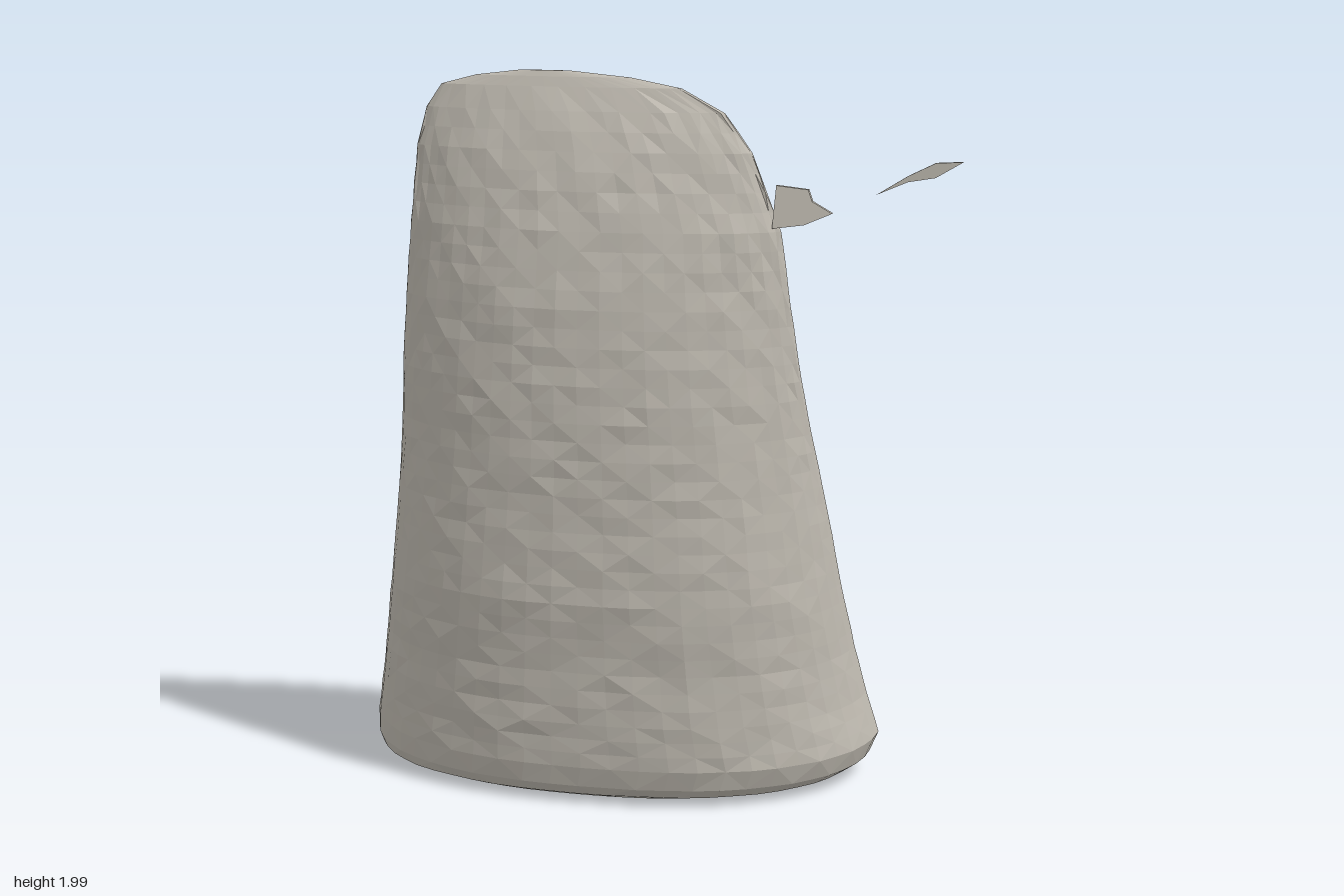
import * as THREE from 'three';

const stone = new THREE.MeshStandardMaterial({ color: 0xc4bfb5, flatShading: true, side: THREE.DoubleSide });
stone.name = 'warm grey';

// Cross-sections, bottom to top: y, xMin, xMax, side edge z, front z, back z
const SECTIONS = [
  [0.008, -0.78, 0.43, -0.16, 0.23, -0.41],
  [0.03, -0.855, 0.53, -0.17, 0.28, -0.435],
  [0.06, -0.865, 0.575, -0.175, 0.305, -0.455],
  [0.12, -0.86, 0.60, -0.17, 0.325, -0.472],
  [0.25, -0.83, 0.57, -0.13, 0.35, -0.46],
  [0.4, -0.795, 0.545, -0.07, 0.37, -0.41],
  [0.6, -0.75, 0.52, 0.02, 0.41, -0.31],
  [0.8, -0.71, 0.50, 0.10, 0.43, -0.21],
  [1.0, -0.67, 0.475, 0.18, 0.45, -0.11],
  [1.2, -0.64, 0.45, 0.25, 0.468, -0.01],
  [1.4, -0.61, 0.43, 0.30, 0.475, 0.075],
  [1.6, -0.58, 0.41, 0.335, 0.465, 0.17],
  [1.8, -0.55, 0.34, 0.36, 0.44, 0.285],
  [1.9, -0.52, 0.27, 0.37, 0.417, 0.335],
  [1.96, -0.475, 0.16, 0.378, 0.402, 0.365],
  [1.985, -0.38, 0.03, 0.383, 0.396, 0.375],
  [2.0, -0.26, -0.13, 0.387, 0.391, 0.383],
];

function seeded(seed) {
  return () => {
    seed = (seed * 16807) % 2147483647;
    return seed / 2147483647 - 0.5;
  };
}

// Split the sections into rows of roughly even height
function makeRows() {
  const rows = [];
  for (let s = 0; s < SECTIONS.length - 1; s++) {
    const a = SECTIONS[s], b = SECTIONS[s + 1];
    const n = Math.max(1, Math.round((b[0] - a[0]) / 0.05));
    for (let k = 0; k < n; k++) rows.push(a.map((v, i) => v + (b[i] - v) * k / n));
  }
  rows.push(SECTIONS[SECTIONS.length - 1]);
  return rows;
}

// Point on a section: front bulge is full near the base and shallower above,
// back is flat in the middle and chamfered towards the side edges
function sectionPoint([y, x0, x1, edge, front, back], t) {
  const u = Math.cos(t), a = Math.abs(u);
  const rise = THREE.MathUtils.smoothstep(y, 0.4, 1.5);
  const bulge = (n, p) => Math.max(0, 1 - a ** n) ** p;
  const z = Math.sin(t) >= 0
    ? edge + (front - edge) * bulge(2.4 - 0.2 * rise, 0.5 + 0.3 * rise)
    : edge - (edge - back) * (u < 0 ? bulge(3.4, 1.35) : bulge(2.6, 1.25));
  return [(x0 + x1) / 2 + u * (x1 - x0) / 2, y, z];
}

// Tapering wedge with sharp side edges and an underside raised at the back
function wedgeGeometry() {
  const N = 56, rand = seeded(77), pos = [], index = [], rings = [];
  const center = [-0.16, 0.006, -0.08];
  const ring = (section, scale, rough) => rings.push(Array.from({ length: N }, (_, i) => {
    const p = sectionPoint(section, (i / N) * Math.PI * 2);
    p[2] += rand() * rough;
    return p.map((v, k) => center[k] + (v - center[k]) * scale);
  }));
  // Underside, then the walls
  for (const scale of [0.02, 0.25, 0.5, 0.75]) ring(SECTIONS[0], scale, 0);
  makeRows().forEach(row => ring(row, 1, row[0] > 1.95 || row[0] < 0.02 ? 0 : 0.007));
  const lift = (y, z) =>
    0.09 * THREE.MathUtils.smoothstep(-z, 0.15, 0.38) * Math.max(0, 1 - y / 0.5);
  rings.flat().forEach(([x, y, z]) => pos.push(x, y + lift(y, z), z));
  for (let j = 0; j < rings.length - 1; j++) {
    for (let i = 0; i < N; i++) {
      const a = j * N + i, b = j * N + (i + 1) % N;
      if ((i + j) % 2) index.push(a, a + N, b, b, a + N, b + N);
      else index.push(a, a + N, b + N, a, b + N, b);
    }
  }
  // Close the narrow tip
  const last = (rings.length - 1) * N, tip = pos.length / 3;
  pos.push(-0.19, 2.0, 0.387);
  for (let i = 0; i < N; i++) index.push(tip, last + (i + 1) % N, last + i);
  const g = new THREE.BufferGeometry();
  g.setAttribute('position', new THREE.Float32BufferAttribute(pos, 3));
  g.setIndex(index);
  g.computeVertexNormals();
  return g;
}

// Thin broken chip; its depth follows zAt(x)
function chip(name, outline, thickness, zAt) {
  const shape = new THREE.Shape(outline.map(([x, y]) => new THREE.Vector2(x, y)));
  const g = new THREE.ExtrudeGeometry(shape, { depth: thickness, bevelEnabled: false });
  const p = g.attributes.position;
  for (let i = 0; i < p.count; i++) p.setZ(i, p.getZ(i) - thickness / 2 + zAt(p.getX(i)));
  g.computeVertexNormals();
  const mesh = new THREE.Mesh(g, stone);
  mesh.name = name;
  return mesh;
}

export function createModel() {
  const model = new THREE.Group();
  model.name = 'stoneWedge';
  const body = new THREE.Mesh(wedgeGeometry(), stone);
  body.name = 'body';
  model.add(body);

  // Chip on the side edge and a loose sliver beyond it
  model.add(chip('sideChip',
    [[0.39, 1.61], [0.47, 1.62], [0.54, 1.65], [0.49, 1.68], [0.48, 1.71], [0.40, 1.72]],
    0.014, x => 0.35 - (x - 0.4) * 0.15));
  model.add(chip('looseSliver',
    [[0.65, 1.70], [0.73, 1.735], [0.80, 1.748], [0.87, 1.79], [0.80, 1.785], [0.73, 1.75]],
    0.01, x => 0.318 + (x - 0.65) * 0.08));
  // Ragged flap under the back rim
  model.add(chip('rimFlap',
    [[-0.03, 0.15], [-0.02, 0.075], [0.08, 0.05], [0.18, 0.075], [0.21, 0.15]],
    0.012, () => -0.42));
  return model;
}
